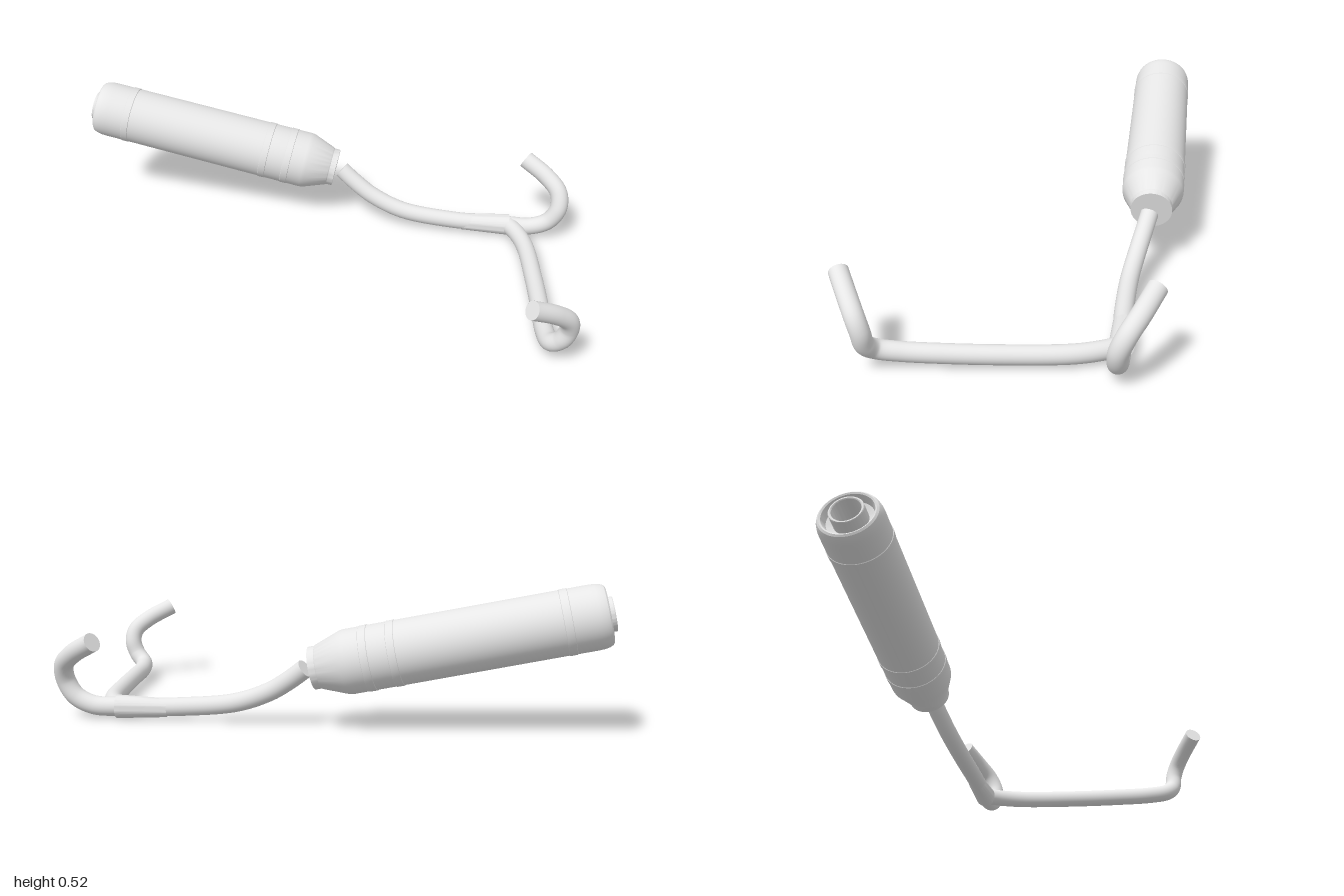
import * as THREE from 'three';
import { toCreasedNormals } from 'three/addons/utils/BufferGeometryUtils.js';

const metal = new THREE.MeshStandardMaterial({ color: 0xe6e6e6, side: THREE.DoubleSide });
metal.name = 'light grey metal';

const vec = (p) => new THREE.Vector3(...p);

// Round pipe along a smooth path, closed by a disc at each end
function pipe(name, points, radius) {
  const group = new THREE.Group();
  group.name = name;
  const curve = new THREE.CatmullRomCurve3(points.map(vec), false, 'centripetal');
  const tube = new THREE.Mesh(new THREE.TubeGeometry(curve, 90, radius, 28), metal);
  tube.name = name + 'Tube';
  group.add(tube);
  for (const [end, sign] of [[0, -1], [1, 1]]) {
    const cap = new THREE.Mesh(new THREE.CircleGeometry(radius, 28), metal);
    cap.name = name + 'Cap';
    cap.position.copy(curve.getPointAt(end));
    cap.quaternion.setFromUnitVectors(
      new THREE.Vector3(0, 0, 1), curve.getTangentAt(end).multiplyScalar(sign));
    group.add(cap);
  }
  return group;
}

// Turned part: profile of [radius, distance along the axis]
function turned(name, profile) {
  const lathe = new THREE.LatheGeometry(profile.map(([r, t]) => new THREE.Vector2(r, t)), 64);
  const mesh = new THREE.Mesh(toCreasedNormals(lathe, 0.45), metal);
  mesh.name = name;
  return mesh;
}

function createMuffler() {
  const muffler = new THREE.Group();
  muffler.name = 'muffler';

  // Can with rounded rear rim, long body, front cone and inlet collar
  muffler.add(turned('mufflerBody', [
    [0.05, 0.06], [0.082, 0.05], [0.09, 0.02], [0.096, 0.017], [0.103, 0.022], [0.109, 0.034],
    [0.1125, 0.052], [0.1135, 0.075], [0.1135, 0.15], [0.1155, 0.74], [0.116, 0.91],
    [0.114, 0.925], [0.08, 1.015], [0.077, 1.018], [0.077, 1.042], [0, 1.042],
  ]));

  // Hollow tail pipe
  muffler.add(turned('tailPipe', [
    [0, 0.13], [0.05, 0.13], [0.05, 0.003], [0.053, 0], [0.058, 0], [0.06, 0.003], [0.06, 0.08],
  ]));

  // Raised clamp bands
  for (const [t, r] of [[0.155, 0.1135], [0.745, 0.1155], [0.84, 0.1157]]) {
    muffler.add(turned('clampBand', [
      [r - 0.002, t - 0.016], [r + 0.002, t - 0.013], [r + 0.002, t + 0.013], [r - 0.002, t + 0.016],
    ]));
  }

  // Tilt the axis from the tail down to the inlet; the can is slightly wider than tall
  const axis = new THREE.Vector3(1.02, -0.211, 0.021).normalize();
  const side = new THREE.Vector3().crossVectors(axis, new THREE.Vector3(0, 1, 0)).normalize();
  const normal = new THREE.Vector3().crossVectors(side, axis);
  muffler.quaternion.setFromRotationMatrix(new THREE.Matrix4().makeBasis(side, axis, normal));
  muffler.scale.set(1.025, 1, 0.98);
  muffler.position.set(-0.98, 0.433, -0.47);
  return muffler;
}

export function createModel() {
  const model = new THREE.Group();
  model.name = 'exhaustSystem';
  model.add(createMuffler());

  // Link pipe from the muffler to the junction
  model.add(pipe('linkPipe', [
    [0.066, 0.219, -0.443], [0.12, 0.177, -0.427], [0.2, 0.126, -0.406], [0.33, 0.078, -0.383],
    [0.54, 0.055, -0.372], [0.66, 0.051, -0.373], [0.75, 0.05, -0.374],
  ], 0.034));

  // Flared junction collar
  const collar = turned('junctionCollar', [[0.034, 0], [0.042, 0.17], [0.043, 0.19], [0, 0.19]]);
  collar.rotation.z = -Math.PI / 2;
  collar.position.set(0.58, 0.05, -0.373);
  model.add(collar);

  // Rear header, curling up and back
  model.add(pipe('rearHeader', [
    [0.75, 0.05, -0.374], [0.86, 0.053, -0.37], [0.928, 0.085, -0.368], [0.963, 0.145, -0.372],
    [0.958, 0.205, -0.398], [0.908, 0.253, -0.437], [0.82, 0.302, -0.483],
  ], 0.035));

  // Front header, crossing over before the same curl
  model.add(pipe('frontHeader', [
    [0.765, 0.051, -0.375], [0.8, 0.051, -0.315], [0.833, 0.05, -0.22], [0.863, 0.05, 0],
    [0.882, 0.053, 0.2], [0.893, 0.058, 0.34], [0.91, 0.073, 0.415], [0.945, 0.108, 0.44],
    [0.964, 0.16, 0.446], [0.956, 0.208, 0.463], [0.908, 0.253, 0.496], [0.82, 0.302, 0.547],
  ], 0.034));

  return model;
}
